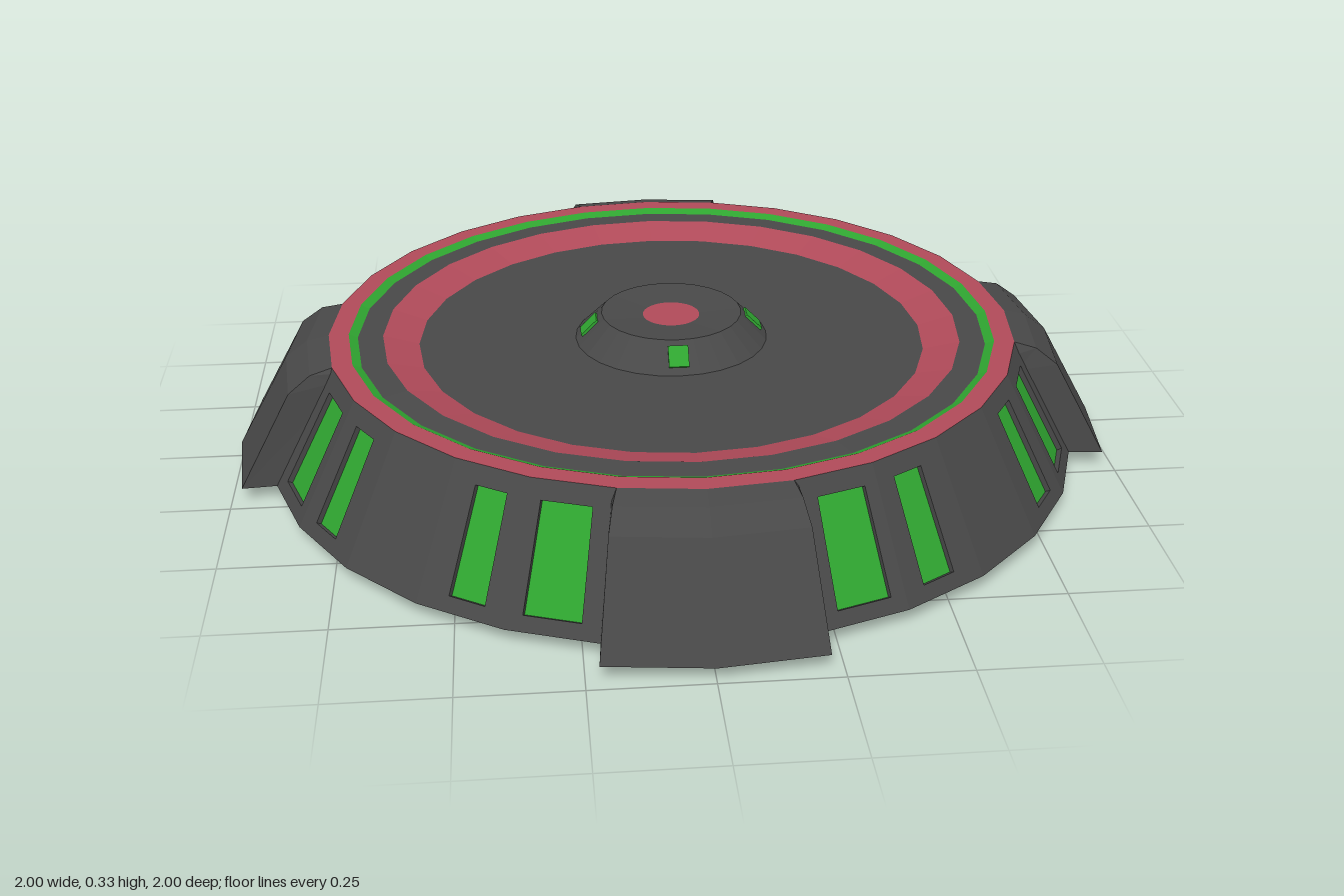
import * as THREE from 'three';

const SIDES = 28, STEP = (Math.PI * 2) / SIDES;

// Point at an angle around the y axis (0 faces the front)
const polar = (angle, r, y) => new THREE.Vector3(Math.sin(angle) * r, y, Math.cos(angle) * r);

// Flat-shaded geometry from a list of counter-clockwise quads
function quadGeometry(quads) {
  const pts = quads.flatMap(([a, b, c, d]) => [a, b, c, a, c, d]);
  const geo = new THREE.BufferGeometry().setFromPoints(pts);
  geo.computeVertexNormals();
  return geo;
}

// Strip of quads joining two loops of corners
const bridge = (outer, inner) => outer.map((p, i) => {
  const j = (i + 1) % outer.length;
  return [p, outer[j], inner[j], inner[i]];
});

// Faceted ring or disc turned from a profile of [radius, height]
function turned(profile) {
  const geo = new THREE.LatheGeometry(profile.map(([r, y]) => new THREE.Vector2(r, y)), SIDES).toNonIndexed();
  geo.computeVertexNormals();
  return geo;
}

export function createModel() {
  const model = new THREE.Group();
  model.name = 'landingPad';
  const material = (name, color) => Object.assign(new THREE.MeshStandardMaterial({ color }), { name });
  const grey = material('darkGrey', 0x484848);
  const red = material('dustyRed', 0xb04a59);
  const green = material('lampGreen', 0x2fa530);
  const add = (name, geo, mat) => {
    const mesh = new THREE.Mesh(geo, mat);
    mesh.name = name;
    model.add(mesh);
    return mesh;
  };

  // Underside with a shallow recess and outer bevel
  add('underside', turned([[0, 0.05], [0.56, 0.05], [0.65, 0.04], [0.775, 0.04], [0.84, 0], [0.925, 0.035]]), grey);

  // Deck rings, from the rim to the sunken centre
  add('outerRing', turned([[0.78, 0.3], [0.735, 0.3]]), red);
  add('lightRing', turned([[0.735, 0.3], [0.715, 0.291]]), green);
  add('innerGroove', turned([[0.715, 0.291], [0.658, 0.293]]), grey);
  add('dishRing', turned([[0.658, 0.293], [0.577, 0.27]]), red);
  add('deck', turned([[0.577, 0.27], [0, 0.27]]), grey);

  // Central hub
  add('hub', turned([[0.22, 0.27], [0.16, 0.33], [0.065, 0.322]]), grey);
  add('hubCentre', turned([[0.065, 0.322], [0, 0.322]]), red);
  for (let i = 0; i < 4; i++) {
    const lamp = add('hubLamp', new THREE.BoxGeometry(0.045, 0.05, 0.008), green);
    lamp.position.copy(polar(i * Math.PI / 2, 0.188, 0.302));
    lamp.rotation.set(-Math.PI / 4, i * Math.PI / 2, 0, 'YXZ');
  }

  // Sloping wall: plain facets, and facets with recessed windows
  const wall = [], panes = [];
  const windowSpan = { 1: [0.25, 0.84], 2: [0.25, 0.66], 4: [0.34, 0.75], 5: [0.16, 0.75] };
  for (let k = 0; k < SIDES; k++) {
    const a = k * STEP, b = a + STEP;
    const face = [polar(a, 0.925, 0.035), polar(b, 0.925, 0.035), polar(b, 0.78, 0.3), polar(a, 0.78, 0.3)];
    const span = windowSpan[k % 7];
    if (!span) {
      wall.push(face);
      continue;
    }
    const at = (u, v) => face[0].clone().lerp(face[1], u).lerp(face[3].clone().lerp(face[2], u), v);
    const normal = face[1].clone().sub(face[0]).cross(face[3].clone().sub(face[0])).normalize();
    const [u0, u1] = span, v0 = 0.11, v1 = 0.86;
    const opening = [at(u0, v0), at(u1, v0), at(u1, v1), at(u0, v1)];
    const back = opening.map(p => p.clone().addScaledVector(normal, -0.012));
    wall.push(...bridge(face, opening), ...bridge(opening, back));
    panes.push(back);
  }
  add('wall', quadGeometry(wall), grey);
  add('windows', quadGeometry(panes), green);

  // Four buttresses with flared sides
  const outerProfile = [[1, 0.035], [0.88, 0.25], [0.83, 0.288], [0.78, 0.3]];
  const baseProfile = [[0.9, 0.035], [0.79, 0.235], [0.775, 0.27], [0.76, 0.29]];
  const quads = [];
  const half = STEP, flare = STEP * 1.07;
  for (let i = 0; i + 1 < outerProfile.length; i++) {
    const [o0, o1, b0, b1] = [outerProfile[i], outerProfile[i + 1], baseProfile[i], baseProfile[i + 1]];
    for (const [p, q] of [[-half, 0], [0, half]]) {
      quads.push([polar(p, ...o0), polar(q, ...o0), polar(q, ...o1), polar(p, ...o1)]);
    }
    quads.push([polar(half, ...o0), polar(flare, ...b0), polar(flare, ...b1), polar(half, ...o1)]);
    quads.push([polar(-flare, ...b0), polar(-half, ...o0), polar(-half, ...o1), polar(-flare, ...b1)]);
  }
  const [foot, base] = [outerProfile[0], baseProfile[0]];
  quads.push([polar(-flare, ...base), polar(0, ...base), polar(0, ...foot), polar(-half, ...foot)]);
  quads.push([polar(0, ...base), polar(flare, ...base), polar(half, ...foot), polar(0, ...foot)]);
  const buttress = quadGeometry(quads);
  for (let i = 0; i < 4; i++) add('buttress', buttress, grey).rotation.y = i * Math.PI / 2;

  return model;
}
